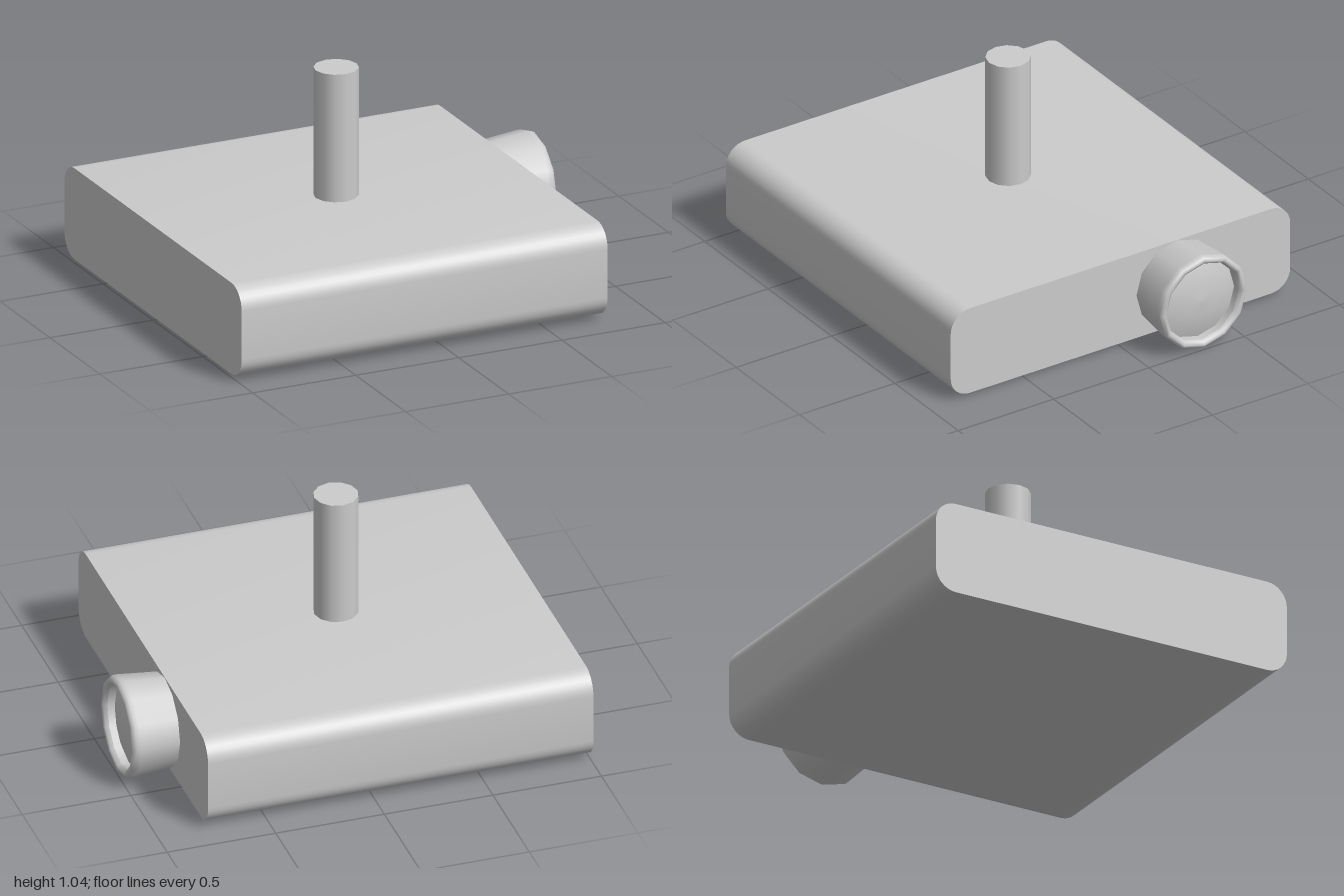
import * as THREE from 'three';
import { toCreasedNormals } from 'three/addons/utils/BufferGeometryUtils.js';

const SIDES = 12;

export function createModel() {
  const model = new THREE.Group();
  model.name = 'projector';
  const grey = new THREE.MeshStandardMaterial({ color: 0xcccccc });

  const add = (name, geometry, x, y, z, parent = model) => {
    const mesh = new THREE.Mesh(geometry, grey);
    mesh.name = name;
    mesh.position.set(x, y, z);
    parent.add(mesh);
    return mesh;
  };

  // Housing: rounded cross-section in z/y, extruded along x
  const w = 0.89, h = 0.2125, r = 0.1, length = 1.775;
  const section = new THREE.Shape();
  section.moveTo(-w + r, -h);
  section.absarc(w - r, -h + r, r, -Math.PI / 2, 0);
  section.absarc(w - r, h - r, r, 0, Math.PI / 2);
  section.absarc(-w + r, h - r, r, Math.PI / 2, Math.PI);
  section.absarc(-w + r, -h + r, r, Math.PI, Math.PI * 1.5);
  const housing = new THREE.ExtrudeGeometry(section, { depth: length, bevelEnabled: false, curveSegments: 4 });
  housing.rotateY(Math.PI / 2);
  add('housing', toCreasedNormals(housing, Math.PI / 4), -1, 0.2325, 0);

  // Ceiling mount post
  add('mountPost', new THREE.CylinderGeometry(0.1, 0.1, 0.62, SIDES), -0.112, 0.73, 0);

  // Lens assembly, turned so its axis points along +x
  const lens = new THREE.Group();
  lens.name = 'lens';
  lens.position.set(0.775, 0.2325, -0.295);
  lens.rotation.z = -Math.PI / 2;
  model.add(lens);

  const turned = (points) =>
    new THREE.LatheGeometry(points.map(([x, y]) => new THREE.Vector2(x, y)), SIDES);

  // Flared barrel with a softly rounded lip
  add('lensBarrel', turned([
    [0.21, -0.01], [0.229, 0.185], [0.229, 0.203], [0.222, 0.217], [0.21, 0.222], [0.198, 0.216], [0.191, 0.2],
  ]), 0, 0, 0, lens);
  add('lensInnerWall', turned([[0.191, 0.2], [0.191, 0.165]]), 0, 0, 0, lens);

  // Shallow convex glass set inside the lip
  add('lensGlass', turned([[0.191, 0.165], [0.14, 0.182], [0.075, 0.194], [0, 0.199]]), 0, 0, 0, lens);

  return model;
}
